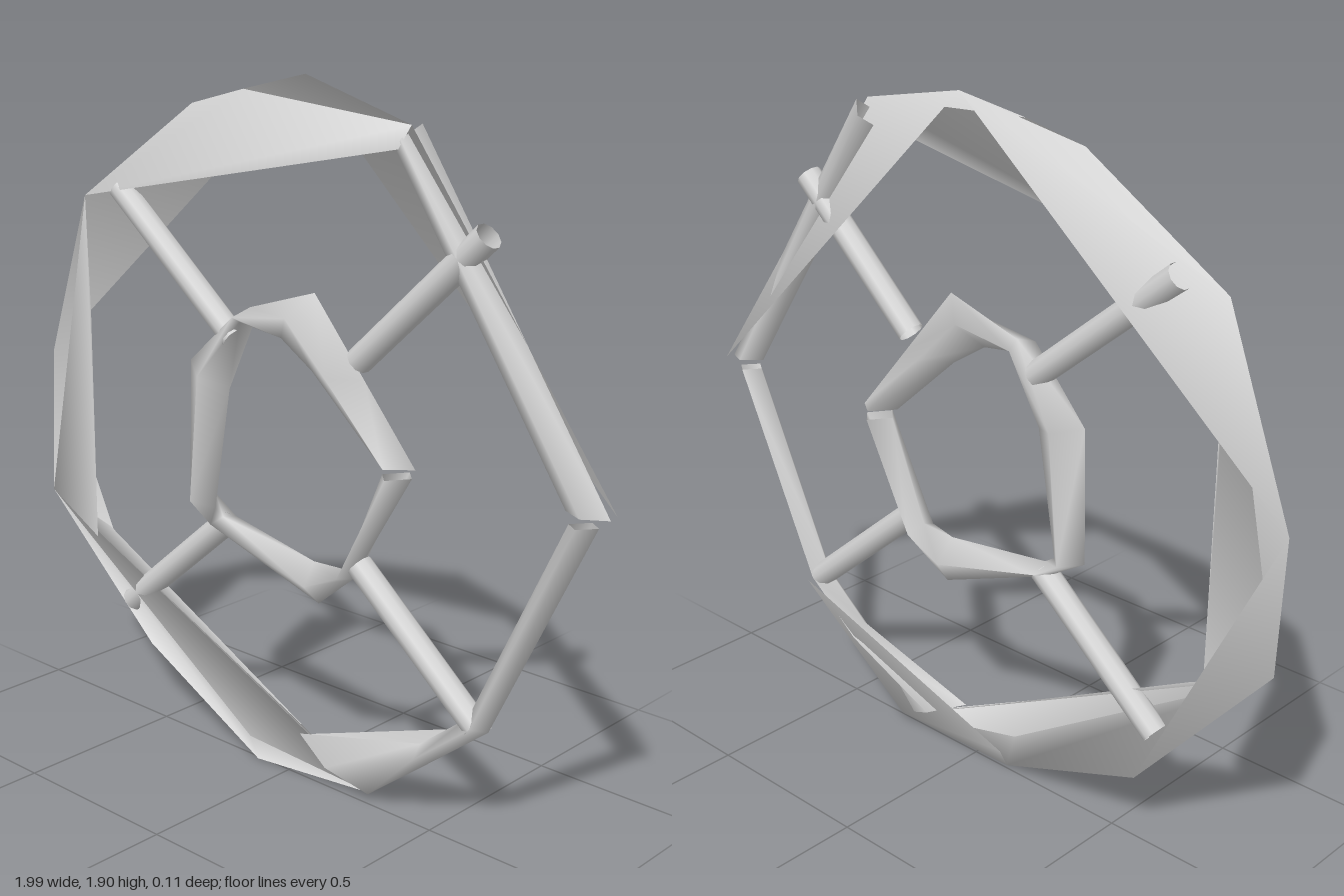
import * as THREE from 'three';

const steel = new THREE.MeshStandardMaterial({ color: 0xd2d2d2, side: THREE.DoubleSide });
steel.name = 'greySteel';

const CENTRE_Y = 0.95, RIM_RADIUS = 0.86;

function mesh(name, positions, index) {
  const geometry = new THREE.BufferGeometry();
  geometry.setAttribute('position', new THREE.Float32BufferAttribute(positions.flat(), 3));
  geometry.setIndex(index);
  geometry.computeVertexNormals();
  const part = new THREE.Mesh(geometry, steel);
  part.name = name;
  return part;
}

// Rim plate, corners counter-clockwise seen from the front; facing is 1 (front) or -1 (back).
// Normals follow a round tube, so the plates shade as one soft ring.
function plate(name, facing, ...corners) {
  const index = [];
  for (let i = 1; i < corners.length - 1; i++) {
    index.push(0, ...(facing > 0 ? [i, i + 1] : [i + 1, i]));
  }
  const part = mesh(name, corners, index);
  const normals = corners.flatMap(([x, y]) => {
    const r = Math.hypot(x, y - CENTRE_Y), bulge = (r - RIM_RADIUS) / 0.12 / r;
    return new THREE.Vector3(x * bulge, (y - CENTRE_Y) * bulge, facing * 0.8).normalize().toArray();
  });
  part.geometry.setAttribute('normal', new THREE.Float32BufferAttribute(normals, 3));
  return part;
}

// Diamond-section band between outer and inner outlines: [outerX, outerY, innerX, innerY]
function band(name, sections, depth) {
  const points = [], index = [];
  for (const [ox, oy, ix, iy] of sections) {
    const mx = (ox + ix) / 2, my = (oy + iy) / 2;
    points.push([ox, oy, -0.01], [mx, my, depth], [ix, iy, 0.01], [mx, my, -depth]);
  }
  for (let s = 0; s < sections.length - 1; s++) {
    for (let k = 0; k < 4; k++) {
      const a = s * 4 + k, b = s * 4 + (k + 1) % 4;
      index.push(a, a + 4, b, b, a + 4, b + 4);
    }
  }
  return mesh(name, points, index);
}

function spoke(name, x0, y0, x1, y1) {
  const from = new THREE.Vector3(x0, y0, 0), to = new THREE.Vector3(x1, y1, 0);
  const dir = to.clone().sub(from);
  const part = new THREE.Mesh(new THREE.CylinderGeometry(0.036, 0.036, dir.length(), 10, 1, true), steel);
  part.position.copy(from).lerp(to, 0.5);
  part.quaternion.setFromUnitVectors(new THREE.Vector3(0, 1, 0), dir.normalize());
  part.name = name;
  return part;
}

export function createModel() {
  const wheel = new THREE.Group();
  wheel.name = 'wheel';

  // Shared rim corners
  const top = [0, 1.9, -0.06], topLeft = [-0.35, 1.81, 0], shoulder = [-0.76, 1.53, 0.03];
  const side = [-1, 1.03, -0.03], lowSide = [-0.95, 0.62, 0.03], lowLeft = [-0.59, 0.2, -0.03];
  const bottom = [-0.11, 0, 0.01], lowRight = [0.28, 0.02, -0.02], topRight = [0.42, 1.81, 0.03];
  const lowFold = [-0.11, 0.08, 0.04], crest = [-0.18, 1.855, -0.02];

  const rim = new THREE.Group();
  rim.name = 'rim';
  rim.add(
    // upper arc: front plate, top bevel, back plates
    plate('rimTopFront', 1, shoulder, [0.38, 1.75, 0.03], topRight, crest, topLeft),
    plate('rimTopBevel', -1, crest, topRight, top),
    plate('rimUpperLeftBack', -1, top, topLeft, shoulder, side),
    plate('rimUpperRightBack', -1, top, [0.99, 0.96, -0.04], topRight),
    // left arc
    plate('rimLeftFront', 1, shoulder, lowSide, [-0.74, 0.52, 0.04], [-0.75, 1.2, 0.03]),
    plate('rimLeftOuter', -1, shoulder, side, lowSide),
    plate('rimLeftBack', -1, side, lowSide, lowLeft),
    // lower left arc
    plate('rimLowerFront', 1, lowSide, lowFold, lowRight, [0.05, 0.13, -0.02], [-0.74, 0.54, -0.01]),
    plate('rimLowerOuter', -1, lowSide, lowLeft, bottom, lowFold),
    plate('rimLowerTip', -1, bottom, lowRight, lowFold),
    plate('rimLowerBack', -1, lowRight, [0.66, 0.33, -0.04], [-0.11, 0.06, -0.02], bottom),
    // right arcs, split at the side
    band('rimUpperRight', [[0.42, 1.81, 0.36, 1.74], [0.99, 0.96, 0.88, 0.965]], 0.035),
    band('rimLowerRight', [
      [0.96, 0.935, 0.89, 0.935], [0.67, 0.33, 0.62, 0.36],
      [0.47, 0.17, 0.47, 0.24], [0.28, 0.02, 0.05, 0.13]
    ], 0.035)
  );
  wheel.add(rim);

  // Open hub ring, running from the gap around to the gap
  wheel.add(band('hub', [
    [0.42, 0.96, 0.31, 0.965], [0.25, 1.16, 0.09, 1.16], [0.08, 1.36, -0.02, 1.23],
    [-0.15, 1.29, -0.17, 1.25], [-0.38, 1.11, -0.21, 1.06], [-0.39, 0.74, -0.27, 0.71],
    [-0.26, 0.66, -0.24, 0.69], [0.1, 0.52, 0.1, 0.645], [0.22, 0.62, 0.21, 0.65],
    [0.41, 0.935, 0.33, 0.935]
  ], 0.05));

  wheel.add(
    spoke('spokeUpperRight', -0.2, 1.2, -0.64, 1.56),
    spoke('spokeUpperLeft', 0.24, 1.21, 0.63, 1.57),
    spoke('spokeLowerRight', -0.24, 0.67, -0.63, 0.34),
    spoke('spokeLowerLeft', 0.25, 0.67, 0.64, 0.34)
  );
  return wheel;
}
